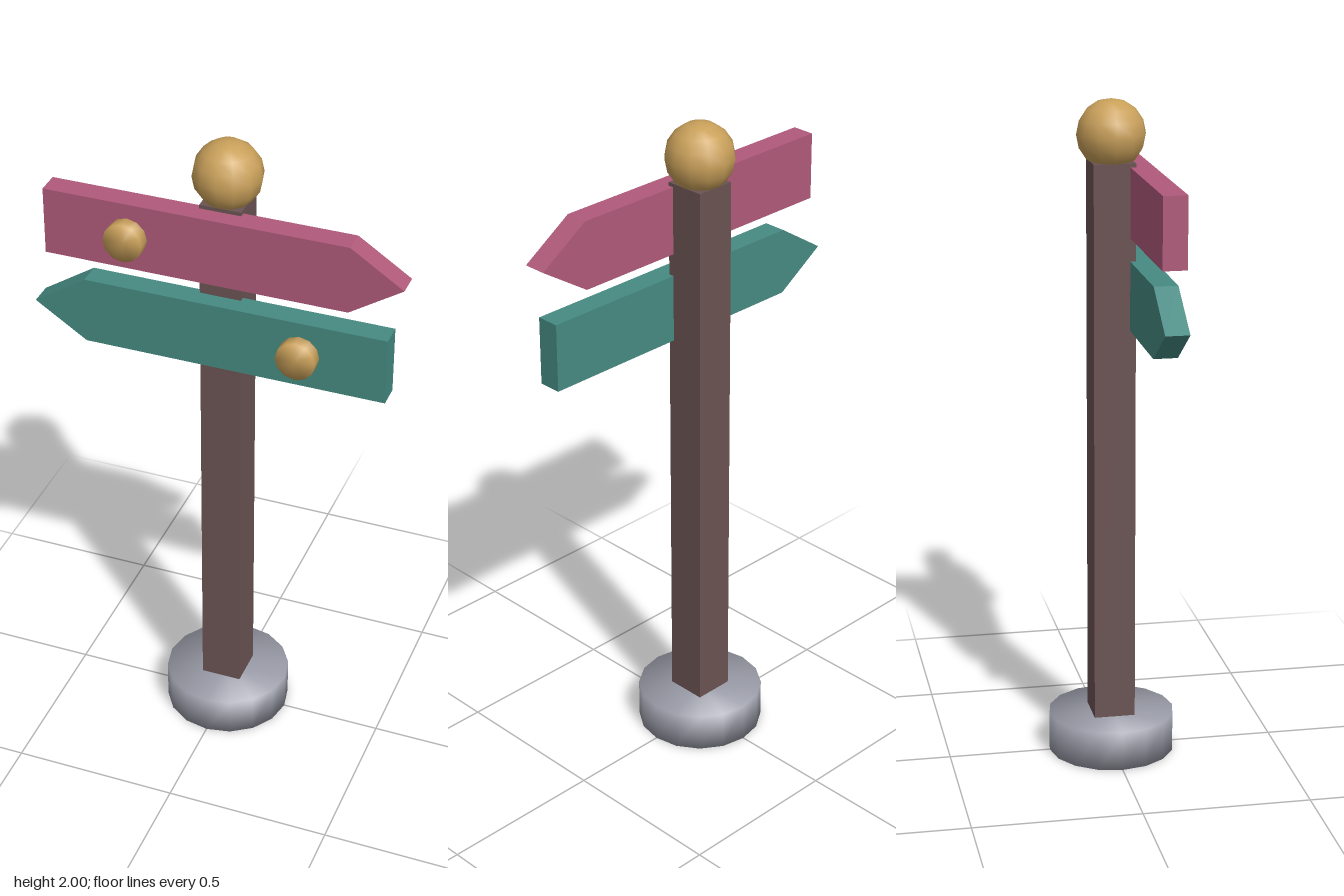
import * as THREE from 'three';
import { mergeVertices } from 'three/addons/utils/BufferGeometryUtils.js';

const mat = (color) => new THREE.MeshStandardMaterial({ color });

// Cylinder whose normals are shared across the rim, for a soft pillowy look
function softCylinder(radius, height, sides) {
  let geo = new THREE.CylinderGeometry(radius, radius, height, sides);
  geo.deleteAttribute('normal');
  geo.deleteAttribute('uv');
  geo = mergeVertices(geo, 1e-4);
  geo.computeVertexNormals();
  return geo;
}

export function createModel() {
  const group = new THREE.Group();
  const gold = mat(0xc9a05a);

  function add(name, geometry, material, x, y, z, parent = group) {
    const mesh = new THREE.Mesh(geometry, material);
    mesh.name = name;
    mesh.position.set(x, y, z);
    parent.add(mesh);
    return mesh;
  }

  // Stone foot, square post and ball on top
  add('base', softCylinder(0.192, 0.12, 16), mat(0x9a9ca8), 0, 0.06, 0);
  add('post', new THREE.BoxGeometry(0.124, 1.72, 0.124), mat(0x6b5353), 0, 0.96, 0);
  add('finial', new THREE.SphereGeometry(0.102, 12, 8), gold, 0, 1.898, 0);

  // Arrow board with a round knob; dir is the side it points to
  function addSign(name, dir, y, color) {
    const sign = new THREE.Group();
    sign.name = name;
    sign.position.set(0, y, 0);
    group.add(sign);

    const h = 0.103;
    const points = [[-0.512, -h], [0.395, -h], [0.552, 0], [0.395, h], [-0.512, h]];
    const outline = new THREE.Shape(points.map(([px, py]) => new THREE.Vector2(px * dir, py)));
    const board = new THREE.ExtrudeGeometry(outline, { depth: 0.07, bevelEnabled: false });
    add(name + 'Board', board, mat(color), 0, 0, 0.045, sign);

    const knob = add(name + 'Knob', softCylinder(0.059, 0.06, 12), gold, -0.257 * dir, 0, 0.126, sign);
    knob.rotation.x = Math.PI / 2;
  }
  addSign('upperSign', 1, 1.706, 0xb05a7a);
  addSign('lowerSign', -1, 1.432, 0x468a82);

  return group;
}
